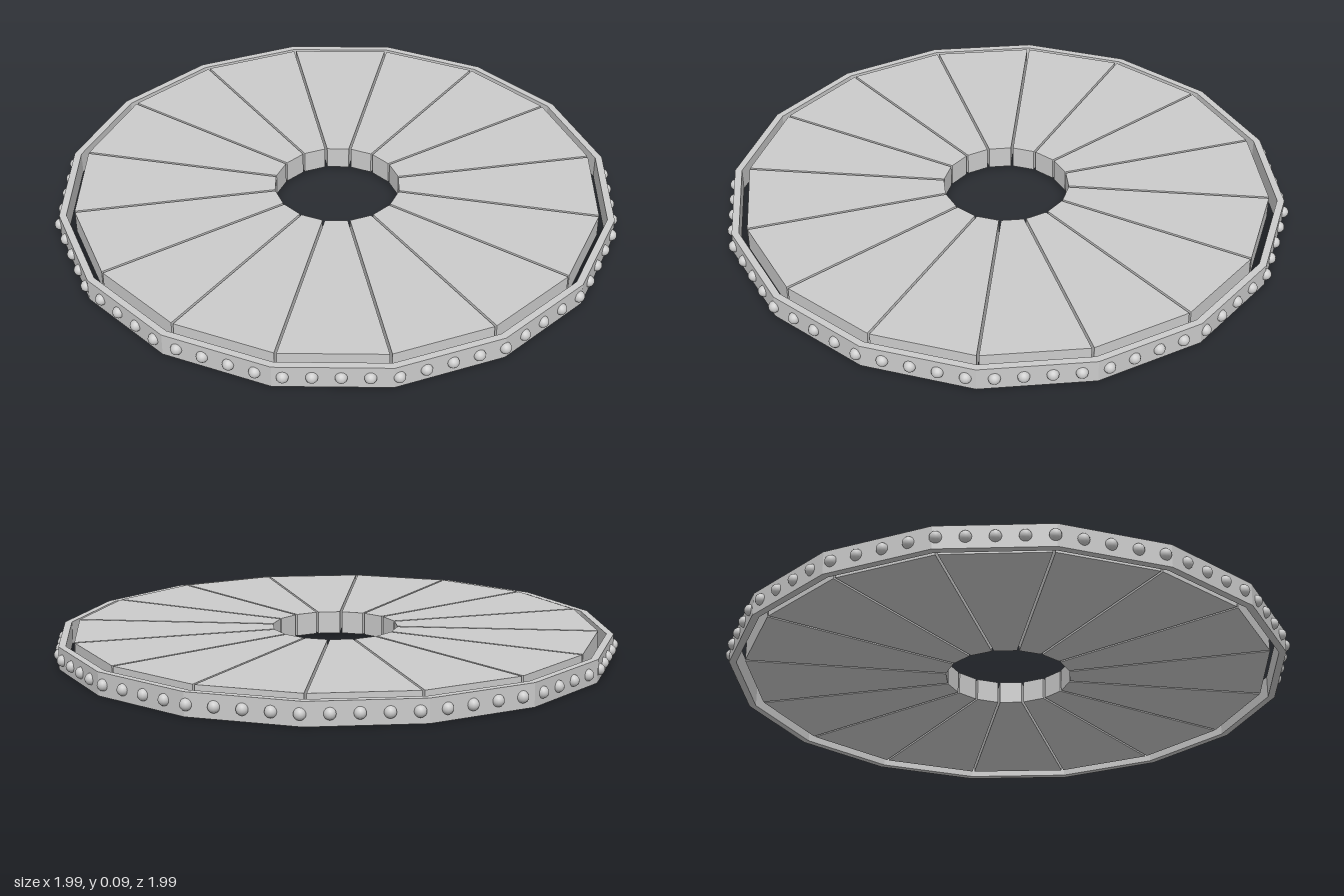
import * as THREE from 'three';

const SIDES = 16;
const STEP = (Math.PI * 2) / SIDES;
const RING_OUT = 0.98, RING_IN = 0.955, RING_H = 0.08;
const PANEL_OUT = 0.925, PANEL_IN = 0.222, PANEL_Y = 0.01, PANEL_H = 0.08;
const HALF_GAP = 0.004;
const RIVETS = 67, RIVET_R = 0.02;

const corner = (r, i) => new THREE.Vector2(r * Math.cos(i * STEP), r * Math.sin(i * STEP));
const polygon = (r) => Array.from({ length: SIDES }, (_, i) => corner(r, i));

// Extrudes a plan shape upwards from y = 0
function slab(shape, height) {
  const geo = new THREE.ExtrudeGeometry(shape, { depth: height, bevelEnabled: false });
  return geo.rotateX(-Math.PI / 2);
}

export function createModel() {
  const group = new THREE.Group();
  group.name = 'segmentedDisc';
  const material = new THREE.MeshStandardMaterial({ color: 0xcccccc });

  // Outer sixteen-sided band
  const ringShape = new THREE.Shape(polygon(RING_OUT));
  ringShape.holes.push(new THREE.Path(polygon(RING_IN)));
  const ring = new THREE.Mesh(slab(ringShape, RING_H), material);
  ring.name = 'outerRing';
  group.add(ring);

  // Wedge panels, separated by narrow parallel gaps around an open centre
  const side = corner(HALF_GAP, SIDES / 4);
  const sideNext = corner(HALF_GAP, 1 + SIDES / 4);
  const wedge = slab(new THREE.Shape([
    corner(PANEL_IN, 0).add(side),
    corner(PANEL_OUT, 0).add(side),
    corner(PANEL_OUT, 1).sub(sideNext),
    corner(PANEL_IN, 1).sub(sideNext),
  ]), PANEL_H);
  const panels = new THREE.Group();
  panels.name = 'panels';
  for (let i = 0; i < SIDES; i++) {
    const panel = new THREE.Mesh(wedge, material);
    panel.name = 'wedgePanel';
    panel.position.y = PANEL_Y;
    panel.rotation.y = i * STEP;
    panels.add(panel);
  }
  group.add(panels);

  // Rivets spaced evenly along the band's faces, starting at the front corner
  const rivetGeo = new THREE.SphereGeometry(RIVET_R, 14, 10);
  const rivets = new THREE.Group();
  rivets.name = 'rivets';
  for (let k = 0; k < RIVETS; k++) {
    const along = (k / RIVETS) * SIDES;
    const i = Math.floor(along);
    const p = corner(RING_OUT, i).lerp(corner(RING_OUT, i + 1), along - i);
    const rivet = new THREE.Mesh(rivetGeo, material);
    rivet.name = 'rivet';
    rivet.position.set(p.y, RING_H / 2, p.x);
    rivets.add(rivet);
  }
  group.add(rivets);

  return group;
}
